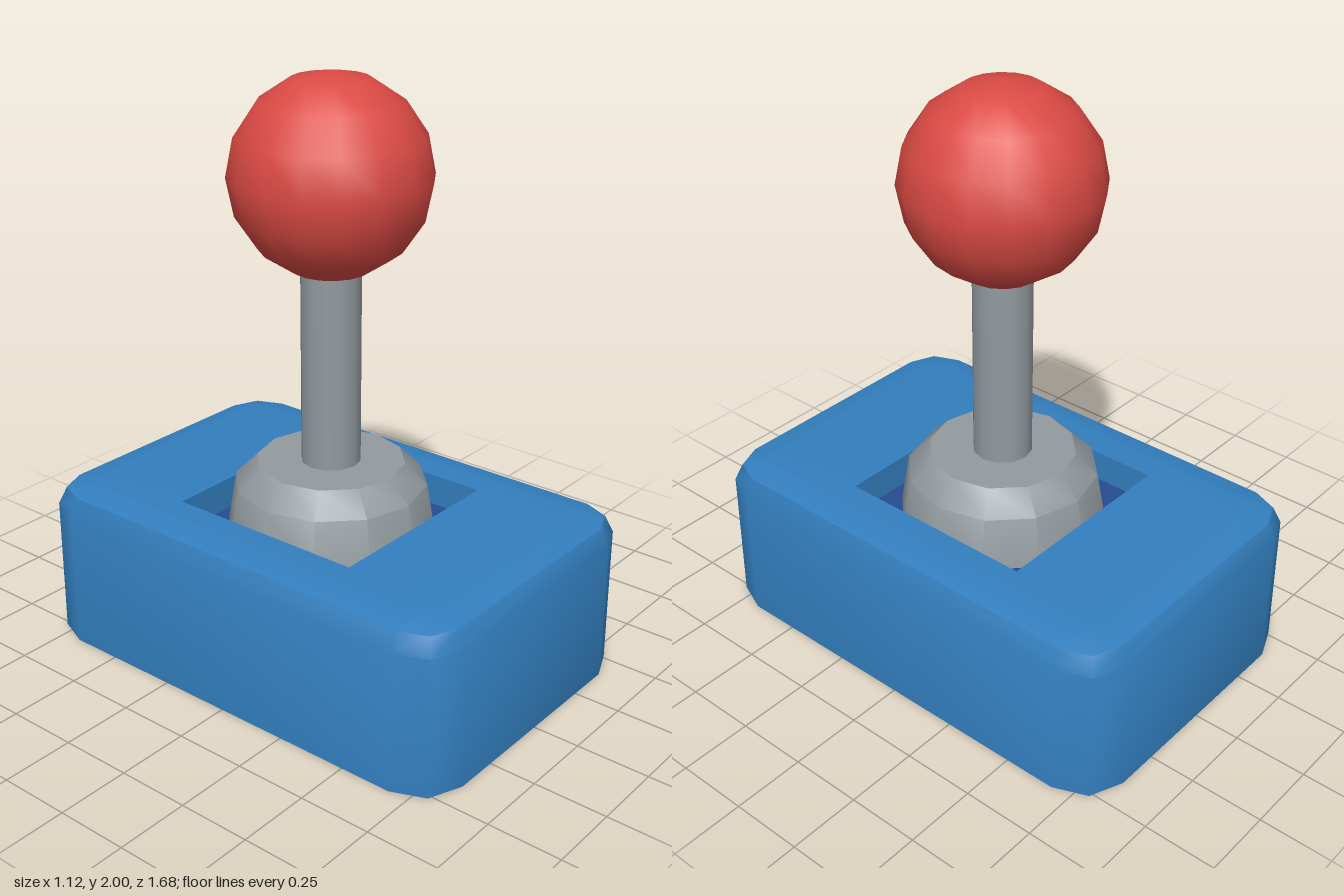
import * as THREE from 'three';
import { mergeGeometries, toCreasedNormals } from 'three/addons/utils/BufferGeometryUtils.js';

const material = (name, color) => Object.assign(new THREE.MeshStandardMaterial({ color }), { name });

// Rounded rectangle, counter-clockwise, two segments per corner
function roundedRing(cornerX, cornerZ, radius) {
  const points = [];
  [[1, 1], [-1, 1], [-1, -1], [1, -1]].forEach(([sx, sz], corner) => {
    for (let i = 0; i <= 2; i++) {
      const a = (corner + i / 2) * Math.PI / 2;
      // middle point sits on the arc, end points on the straight sides
      points.push(new THREE.Vector2(sx * cornerX + radius * Math.cos(a), sz * cornerZ + radius * Math.sin(a)));
    }
  });
  return points;
}

// Band of faces between two rings of equal length at two heights
function band(lower, y0, upper, y1) {
  const positions = [];
  lower.forEach((a, i) => {
    const j = (i + 1) % lower.length;
    const p = [a.x, y0, -a.y], q = [lower[j].x, y0, -lower[j].y];
    const r = [upper[j].x, y1, -upper[j].y], s = [upper[i].x, y1, -upper[i].y];
    positions.push(...p, ...q, ...r, ...p, ...r, ...s);
  });
  const g = new THREE.BufferGeometry();
  g.setAttribute('position', new THREE.Float32BufferAttribute(positions, 3));
  return g;
}

// Flat face filling a ring, optionally with a hole, facing up or down
function cap(ring, y, facing, hole) {
  const shape = new THREE.Shape(ring);
  if (hole) shape.holes.push(new THREE.Path(hole));
  const g = new THREE.ShapeGeometry(shape).toNonIndexed();
  g.rotateX(-facing * Math.PI / 2).translate(0, y, 0);
  g.deleteAttribute('normal');
  g.deleteAttribute('uv');
  return g;
}

export function createModel() {
  const blue = material('base blue', 0x337fbf);
  const darkBlue = material('recess dark blue', 0x264c90);
  const grey = material('metal grey', 0x929b9f);
  const red = material('ball red', 0xdb4a44);

  const model = new THREE.Group();
  model.name = 'joystick';
  const add = (name, geometry, mat, y = 0) => {
    const mesh = new THREE.Mesh(geometry, mat);
    mesh.name = name;
    mesh.position.y = y;
    model.add(mesh);
  };

  // Base: straight sides, bevelled rim and a square recess in the top
  const floorY = 0.45;
  const profile = [[0.16, 0], [0.16, 0.48], [0.13, 0.54], [0.05, 0.56]];
  const rings = profile.map(([r]) => roundedRing(0.4, 0.68, r));
  const hole = [[-1, -1], [-1, 1], [1, 1], [1, -1]].map(([x, z]) => new THREE.Vector2(x * 0.35, z * 0.358));
  const pieces = [cap(rings[0], 0, -1), cap(rings[3], 0.56, 1, hole), band(hole, floorY, hole, 0.56)];
  for (let i = 0; i < 3; i++) pieces.push(band(rings[i], profile[i][1], rings[i + 1], profile[i + 1][1]));
  add('base', toCreasedNormals(mergeGeometries(pieces), 0.83), blue);

  // Recess floor
  add('recessFloor', new THREE.PlaneGeometry(0.7, 0.716).rotateX(-Math.PI / 2), darkBlue, floorY);

  // Collar around the stick
  const collar = [[0.355, floorY], [0.325, 0.625], [0.25, 0.7], [0, 0.7]].map(([x, y]) => new THREE.Vector2(x, y));
  add('collar', toCreasedNormals(new THREE.LatheGeometry(collar, 12), 0.7), grey);

  // Stick and ball
  add('stick', new THREE.CylinderGeometry(0.1, 0.1, 0.74, 12, 1, true), grey, 1.03);
  add('ball', new THREE.SphereGeometry(0.33, 16, 8), red, 1.67);

  return model;
}
